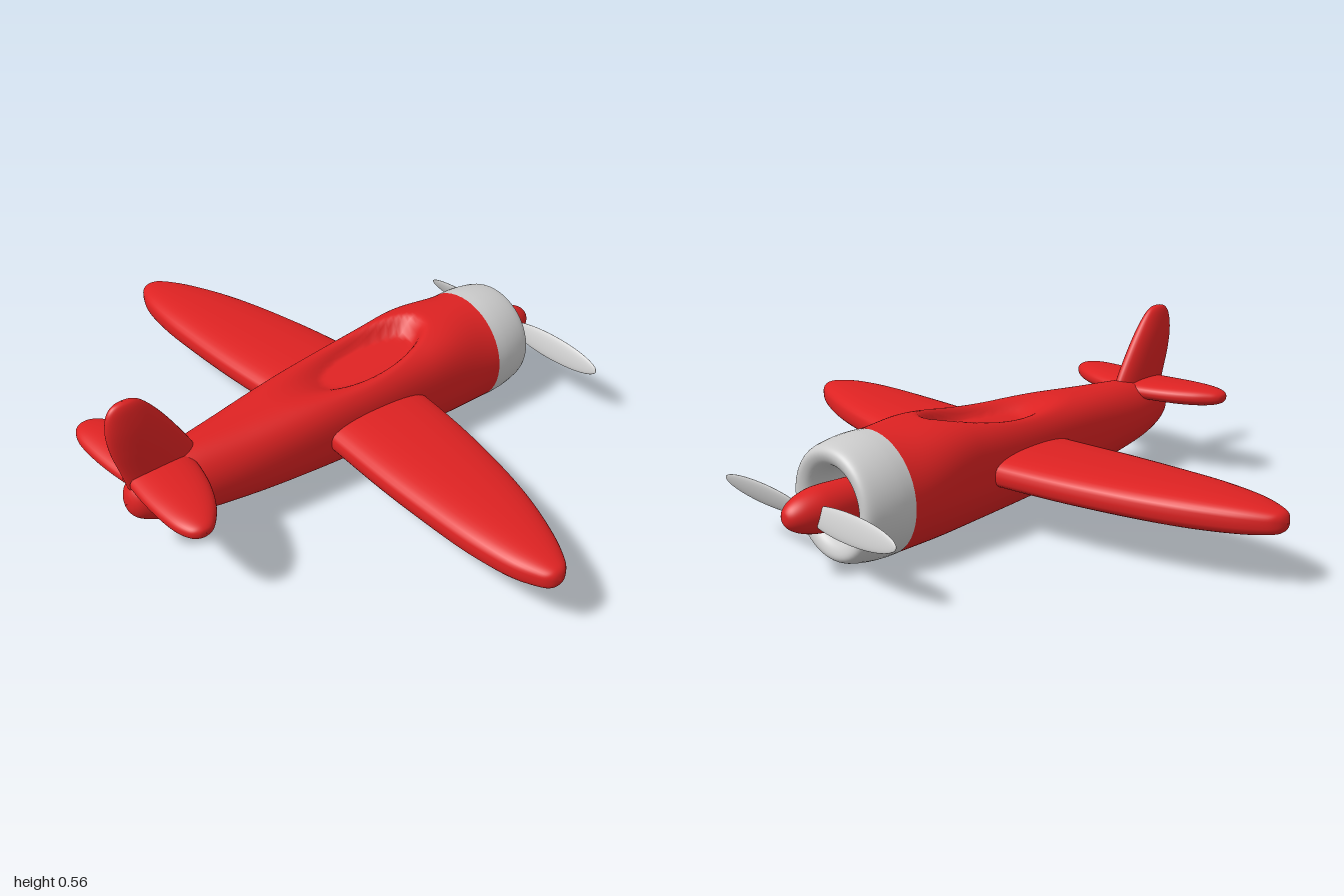
import * as THREE from 'three';

const red = new THREE.MeshStandardMaterial({ color: 0xdd2222, side: THREE.DoubleSide });
const grey = new THREE.MeshStandardMaterial({ color: 0xcccccc, side: THREE.DoubleSide });

// Smoothly interpolated row of a station table, t from 0 to 1
function sample(rows, t) {
  const f = t * (rows.length - 1);
  const i = Math.min(Math.floor(f), rows.length - 2);
  const k = f - i;
  const row = (j) => rows[THREE.MathUtils.clamp(j, 0, rows.length - 1)];
  return rows[0].map((_, c) => {
    const [a, b, d, e] = [row(i - 1)[c], row(i)[c], row(i + 1)[c], row(i + 2)[c]];
    const m0 = (d - a) / 2, m1 = (e - b) / 2;
    return b + k * (m0 + k * (3 * (d - b) - 2 * m0 - m1 + k * (2 * (b - d) + m0 + m1)));
  });
}

// Signed power used for superellipse sections
const power = (v, n) => Math.sign(v) * Math.pow(Math.abs(v), 2 / n);

// Closed skin through rings of points; point(t, angle) gives [x, y, z]
function loft(rings, sides, point) {
  const pos = [], index = [];
  for (let i = 0; i <= rings; i++) {
    for (let j = 0; j < sides; j++) pos.push(...point(i / rings, (j / sides) * Math.PI * 2));
  }
  for (let i = 0; i < rings; i++) {
    for (let j = 0; j < sides; j++) {
      const a = i * sides + j, b = i * sides + ((j + 1) % sides);
      index.push(a, b, a + sides, b, b + sides, a + sides);
    }
  }
  const g = new THREE.BufferGeometry();
  g.setAttribute('position', new THREE.Float32BufferAttribute(pos, 3));
  g.setIndex(index);
  g.computeVertexNormals();
  return g;
}

// Aerofoil growing along +z; rows are [span, trailing x, leading x, half thickness]
function foil(rows, n) {
  return loft(48, 40, (t, a) => {
    const [s, x0, x1, h] = sample(rows, t);
    return [
      (x0 + x1) / 2 + ((x1 - x0) / 2) * power(Math.cos(a), 2.2),
      h * power(Math.sin(a), n), s,
    ];
  });
}

// Profile of [radius, x] pairs turned about the nose axis
function turned(profile) {
  const pts = profile.map(([r, x]) => new THREE.Vector2(r, x));
  const smooth = new THREE.SplineCurve(pts).getPoints(profile.length * 5);
  smooth.forEach((p) => { p.x = Math.max(p.x, 0); });
  return new THREE.LatheGeometry(smooth, 48).rotateZ(-Math.PI / 2);
}

// Depth of the cockpit hollow, from its flat floor out to the soft rim
function hollow(x, z) {
  const inner = Math.hypot((x - 0.105) / 0.185, z / 0.08) - 1;
  const outer = 1 - Math.hypot((x - 0.02) / 0.33, z / 0.135);
  if (outer <= 0) return 0;
  const t = inner <= 0 ? 1 : outer / (outer + inner);
  return 0.055 * t * t * (2 - t);
}

// Body stations: x, top, bottom, half width
const BODY = [
  [-0.807, 0.212, 0.208, 0.001],
  [-0.8, 0.245, 0.175, 0.03],
  [-0.775, 0.275, 0.148, 0.055],
  [-0.71, 0.3, 0.117, 0.08],
  [-0.6, 0.317, 0.09, 0.105],
  [-0.4, 0.328, 0.06, 0.13],
  [-0.2, 0.34, 0.041, 0.15],
  [0, 0.353, 0.027, 0.165],
  [0.2, 0.367, 0.014, 0.176],
  [0.36, 0.38, 0.005, 0.185],
  [0.53, 0.378, 0.002, 0.188],
];

function bodyPoint(t, a) {
  const [x, top, bottom, w] = sample(BODY, t);
  const square = 1.1 * THREE.MathUtils.smoothstep(x, -0.65, -0.1)
    * (1 - THREE.MathUtils.smoothstep(x, 0.25, 0.52));
  const n = Math.cos(a) > 0 ? 2 + square : 2;
  const z = w * power(Math.sin(a), n);
  let y = (top + bottom) / 2 + ((top - bottom) / 2) * power(Math.cos(a), n);
  if (Math.cos(a) > 0) y -= hollow(x, z);
  return [x, y, z];
}

const WING = [
  [0.05, -0.165, 0.21, 0.058], [0.2, -0.175, 0.2, 0.058], [0.4, -0.186, 0.17, 0.058],
  [0.6, -0.188, 0.125, 0.057], [0.75, -0.183, 0.078, 0.055], [0.88, -0.165, 0.022, 0.048],
  [0.96, -0.135, -0.025, 0.037], [0.99, -0.112, -0.055, 0.026], [1, -0.085, -0.084, 0.001],
];
const TAILPLANE = [
  [0.02, -0.8, -0.59, 0.034], [0.1, -0.808, -0.605, 0.034], [0.18, -0.81, -0.63, 0.034],
  [0.25, -0.805, -0.665, 0.031], [0.295, -0.79, -0.7, 0.024], [0.315, -0.77, -0.725, 0.014],
  [0.32, -0.748, -0.747, 0.001],
];
const FIN = [
  [0.26, -0.795, -0.55, 0.038], [0.32, -0.812, -0.572, 0.038], [0.4, -0.835, -0.618, 0.037],
  [0.47, -0.844, -0.664, 0.033], [0.525, -0.836, -0.708, 0.024], [0.552, -0.815, -0.742, 0.014],
  [0.56, -0.782, -0.781, 0.001],
];

export function createModel() {
  const plane = new THREE.Group();
  plane.name = 'airplane';
  const add = (name, geometry, material, y = 0, parent = plane) => {
    const mesh = new THREE.Mesh(geometry, material);
    mesh.name = name;
    mesh.position.y = y;
    parent.add(mesh);
    return mesh;
  };

  add('fuselage', loft(140, 96, bodyPoint), red);

  // Wings and tail surfaces, the second of each pair turned over
  const wing = foil(WING, 3), tailplane = foil(TAILPLANE, 2.4);
  ['near', 'far'].forEach((side, i) => {
    add(side + 'Wing', wing, red, 0.198).rotation.x = i * Math.PI;
    add(side + 'Tailplane', tailplane, red, 0.284).rotation.x = i * Math.PI;
  });
  add('tailFin', foil(FIN, 2), red).rotation.x = -Math.PI / 2;

  // Engine cowling with a rounded lip and hollow intake
  add('engineCowling', turned([
    [0.189, 0.525], [0.189, 0.57], [0.184, 0.62], [0.174, 0.665], [0.16, 0.684],
    [0.14, 0.685], [0.118, 0.67], [0.103, 0.635], [0.097, 0.58], [0.094, 0.545], [0, 0.54],
  ]), grey, 0.19);

  // Propeller
  const propeller = new THREE.Group();
  propeller.name = 'propeller';
  propeller.position.y = 0.19;
  plane.add(propeller);
  add('spinner', turned([
    [0.064, 0.54], [0.066, 0.62], [0.068, 0.7], [0.065, 0.745], [0.053, 0.79],
    [0.037, 0.82], [0.019, 0.836], [0, 0.84],
  ]), red, 0, propeller);
  [1, -1].forEach((s) => {
    const geometry = new THREE.SphereGeometry(1, 32, 20);
    geometry.scale(0.009, 0.041, 0.195);
    const blade = add('propellerBlade', geometry, grey, 0, propeller);
    blade.position.set(0.757, 0, 0.018 + s * 0.197);
    blade.rotation.z = -s * 0.32;
  });
  return plane;
}
